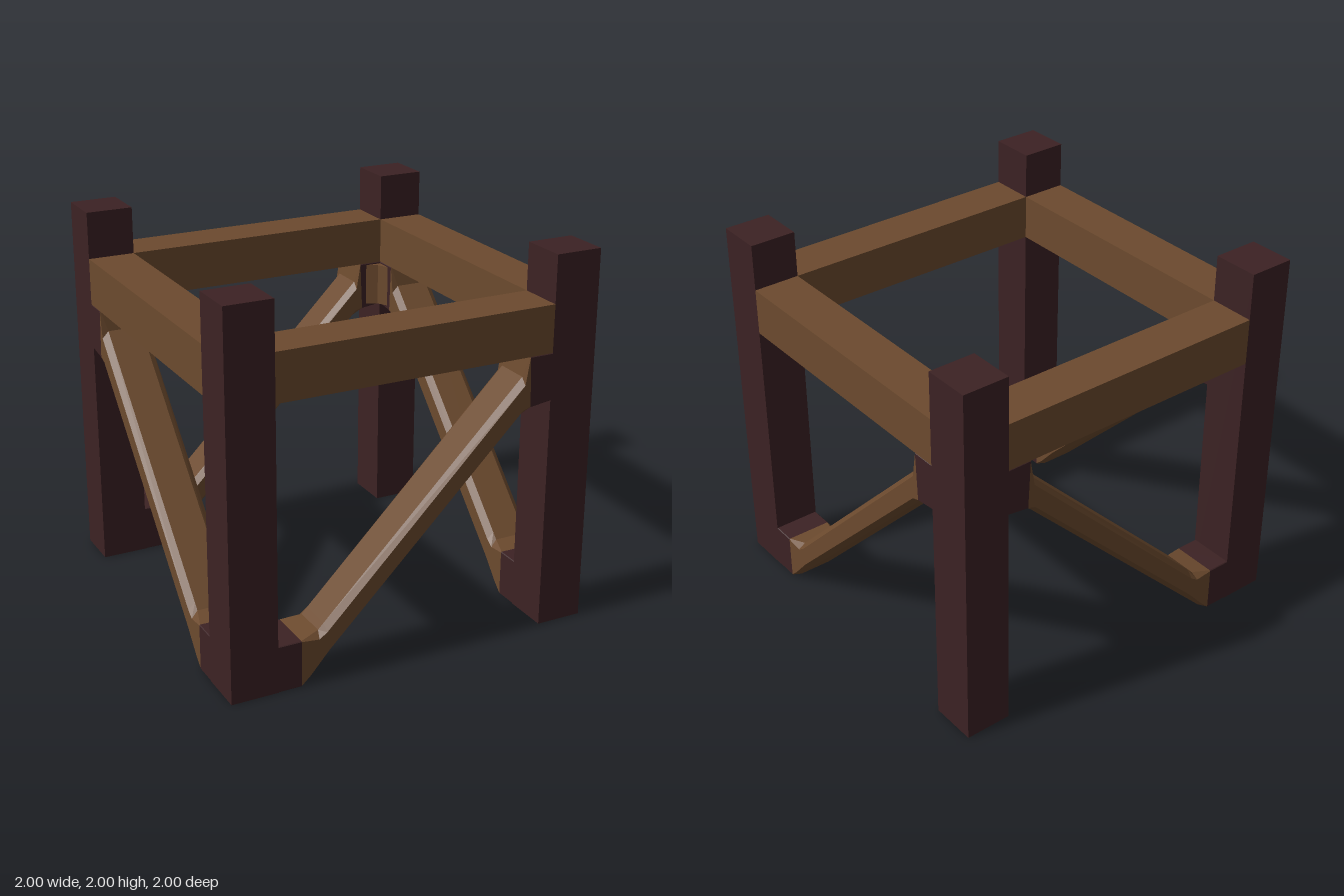
import * as THREE from 'three';

const DEPTH = 0.25;

// Solid strip through sections [xBottom, yBottom, xTop, yTop, chamfer], running towards +x.
function loft(sections) {
  const pos = [], idx = [], n = 8;
  for (const [xb, yb, xt, yt, c] of sections) {
    const h = DEPTH / 2, k = c / Math.hypot(xt - xb, yt - yb);
    const ring = [[-h, k], [-h, 1 - k], [c - h, 1], [h - c, 1], [h, 1 - k], [h, k], [h - c, 0], [c - h, 0]];
    for (const [z, t] of ring) pos.push(xb + (xt - xb) * t, yb + (yt - yb) * t, z);
  }
  for (let i = 0; i < sections.length - 1; i++) {
    for (let j = 0; j < n; j++) {
      const a = i * n + j, b = i * n + (j + 1) % n;
      idx.push(a, b, b + n, a, b + n, a + n);
    }
  }
  const g = new THREE.BufferGeometry();
  g.setAttribute('position', new THREE.Float32BufferAttribute(pos, 3));
  g.setIndex(idx);
  const flat = g.toNonIndexed();
  flat.computeVertexNormals();
  return flat;
}

export function createModel() {
  const darkWood = new THREE.MeshStandardMaterial({ color: 0x3c2224 });
  darkWood.name = 'dark wood';
  const brownWood = new THREE.MeshStandardMaterial({ color: 0x6c4a2e });
  brownWood.name = 'brown wood';

  const model = new THREE.Group();
  model.name = 'timberFrame';
  const add = (parent, name, geo, mat, x = 0, y = 0, z = 0) => {
    const m = new THREE.Mesh(geo, mat);
    m.name = name;
    m.position.set(x, y, z);
    parent.add(m);
    return m;
  };

  // Corner posts
  const postGeo = new THREE.BoxGeometry(0.25, 2, 0.25);
  for (const x of [-0.875, 0.875])
    for (const z of [-0.875, 0.875]) add(model, 'post', postGeo, darkWood, x, 1, z);

  // Beam, diagonal brace and its dark end blocks
  const beamGeo = new THREE.BoxGeometry(1.5, 0.25, 0.25);
  const braceGeo = loft([
    [-0.625, 0, -0.625, 0.25, 0.004],
    [-0.585, 0.015, -0.52, 0.27, 0.035],
    [-0.5, 0.1, -0.595, 0.195, 0.035].length && [-0.47, 0.13, -0.49, 0.3, 0.035],
    [0.59, 1.19, 0.6, 1.39, 0.035],
    [0.635, 1.235, 0.622, 1.5, 0.004],
  ]);
  const footGeo = loft([[-0.75, 0, -0.75, 0.25, 0.004], [-0.625, 0, -0.625, 0.25, 0.004]]);
  const headGeo = loft([[0.635, 1.235, 0.622, 1.5, 0.004], [0.75, 1.25, 0.75, 1.5, 0.004]]);

  // Same side panel at front and back, then turned for the two flanks
  for (const turn of [0, Math.PI / 2]) {
    for (const z of [0.875, -0.875]) {
      const side = new THREE.Group();
      side.name = 'sidePanel';
      add(side, 'beam', beamGeo, brownWood, 0, 1.625, z);
      add(side, 'brace', braceGeo, brownWood, 0, 0, z);
      add(side, 'braceFoot', footGeo, darkWood, 0, 0, z);
      add(side, 'braceHead', headGeo, darkWood, 0, 0, z);
      side.rotation.y = turn;
      model.add(side);
    }
  }

  // Inner corner fillets where two braces meet
  const fillet = new THREE.Shape();
  fillet.moveTo(0, 0);
  fillet.lineTo(0.09, 0);
  fillet.lineTo(0.03, 0.03);
  fillet.lineTo(0, 0.09);
  const filletGeo = new THREE.ExtrudeGeometry(fillet, { depth: 0.23, bevelEnabled: false });
  filletGeo.rotateX(-Math.PI / 2);
  add(model, 'lowerFillet', filletGeo, brownWood, -0.75, 0.01, 0.75);
  add(model, 'upperFillet', filletGeo, brownWood, 0.75, 1.26, -0.75).rotation.y = Math.PI;

  return model;
}
